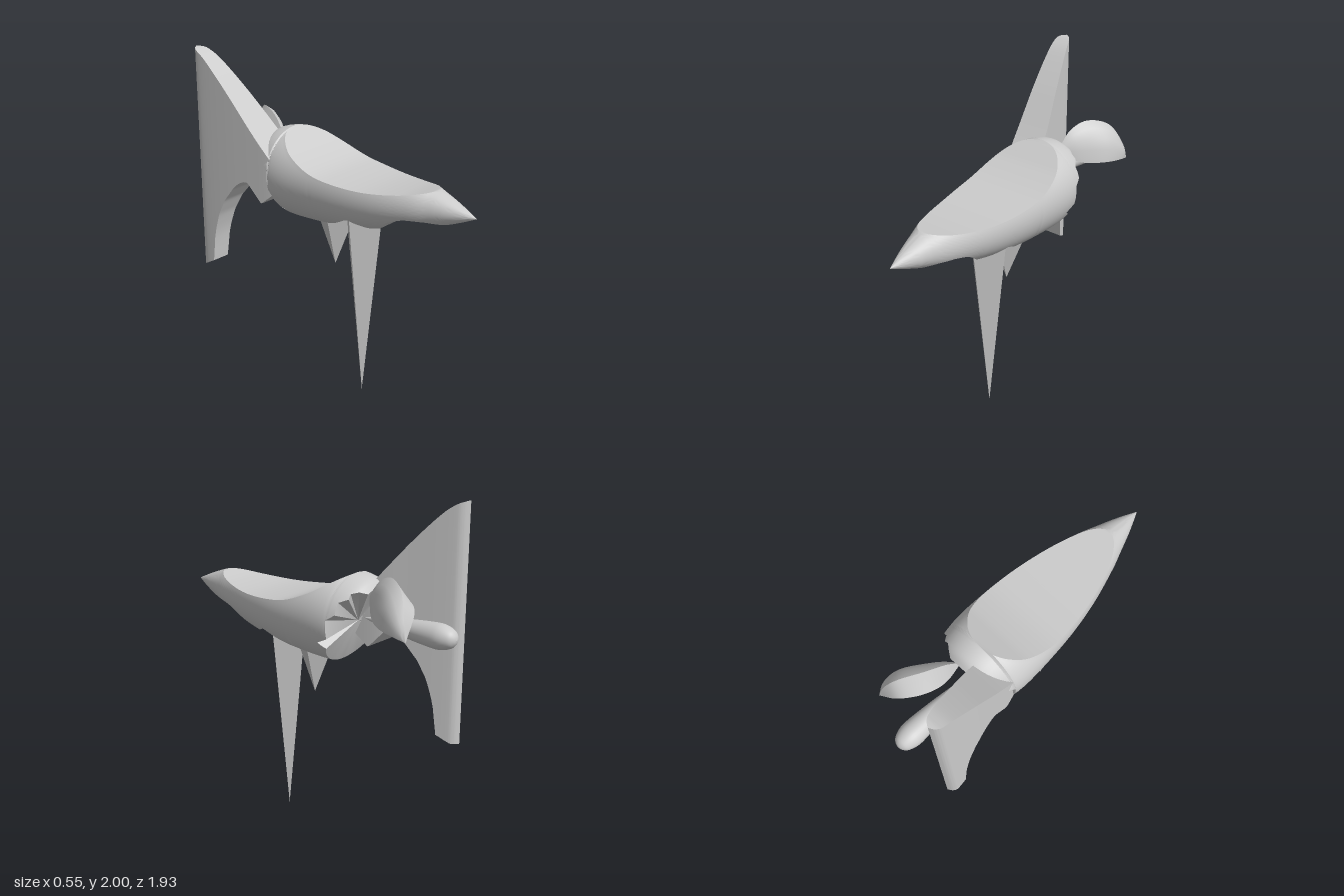
import * as THREE from 'three';
import { toCreasedNormals } from 'three/addons/utils/BufferGeometryUtils.js';

const material = new THREE.MeshStandardMaterial({ color: 0xcccccc, side: THREE.DoubleSide });
const flatMaterial = new THREE.MeshStandardMaterial({ color: 0xcccccc, flatShading: true });

// Turns [position, value] points into a function, straight or smoothed
function profile(points, smooth = true) {
  let p = points.map(([a, b]) => new THREE.Vector2(a, b));
  if (smooth) p = new THREE.SplineCurve(p).getPoints(120);
  p.sort((a, b) => a.x - b.x);
  return (s) => {
    if (s <= p[0].x) return p[0].y;
    for (let i = 1; i < p.length; i++) {
      if (s <= p[i].x) {
        const t = (s - p[i - 1].x) / (p[i].x - p[i - 1].x || 1);
        return p[i - 1].y + t * (p[i].y - p[i - 1].y);
      }
    }
    return p[p.length - 1].y;
  };
}

// Joins closed rings (front to back, counter-clockwise from the front) and caps both ends
function loft(rings, crease = 0.6) {
  const n = rings[0].length, pos = rings.flat(2), index = [];
  for (let i = 0; i < rings.length - 1; i++) {
    for (let j = 0; j < n; j++) {
      const a = i * n + j, b = i * n + (j + 1) % n;
      index.push(a, a + n, b, b, a + n, b + n);
    }
  }
  [0, rings.length - 1].forEach((r, back) => {
    const c = pos.length / 3;
    for (let k = 0; k < 3; k++) pos.push(rings[r].reduce((s, p) => s + p[k], 0) / n);
    for (let j = 0; j < n; j++) {
      const a = r * n + j, b = r * n + (j + 1) % n;
      index.push(c, back ? b : a, back ? a : b);
    }
  });
  const g = new THREE.BufferGeometry();
  g.setAttribute('position', new THREE.Float32BufferAttribute(pos, 3));
  g.setIndex(index);
  return toCreasedNormals(g, crease);
}

const steps = (from, to, n) => Array.from({ length: n + 1 }, (_, i) => from + (to - from) * i / n);

// Round tapered body, scooped above and below, with a ragged slanted back
function bodyGeometry() {
  const cx = 0.01, cy = 1.315;
  const radius = profile([[0.96, 0], [0.88, 0.037], [0.8, 0.07], [0.71, 0.103], [0.6, 0.143], [0.4, 0.2],
    [0.2, 0.238], [0, 0.258], [-0.2, 0.266], [-0.33, 0.255], [-0.42, 0.23], [-0.46, 0.19]]);
  const top = profile([[0.71, 1.415], [0.55, 1.385], [0.35, 1.37], [0.15, 1.38], [0, 1.405],
    [-0.15, 1.465], [-0.25, 1.525], [-0.32, 1.57]]);
  const bottom = profile([[0.8, 1.242], [0.7, 1.253], [0.6, 1.252], [0.54, 1.24], [0.48, 1.212], [0.44, 1.18],
    [0.41, 1.148], [0.33, 1.13], [0.23, 1.178], [0.16, 1.14], [0.1, 1.11], [0, 1.07]], false);
  const ragged = profile([[1.05, -0.21], [1.19, -0.29], [1.2, -0.23], [1.23, -0.24], [1.24, -0.31], [1.36, -0.31],
    [1.37, -0.36], [1.45, -0.36], [1.46, -0.41], [1.52, -0.4], [1.53, -0.46]], false);
  const stations = [...steps(0.96, 0.8, 8), ...steps(0.79, 0.71, 4), ...steps(0.69, -0.32, 60), ...steps(-0.33, -0.46, 10)];
  return loft(stations.map((z) => {
    const r = radius(z);
    const clip = (on, h) => (on && h < r ? Math.asin(h / r) : Math.PI / 2);
    const a = clip(z <= 0.71 && z >= -0.32, top(z) - cy);
    const b = clip(z <= 0.8 && z >= 0, cy - bottom(z));
    const ring = [];
    const arc = (from, to) => steps(from, to, 22).forEach((t) => {
      const zc = Math.max(z, ragged(cy + 0.25 * Math.sin(t))), rc = zc > z ? radius(zc) : r;
      ring.push([cx + rc * Math.cos(t), cy + rc * Math.sin(t), zc]);
    });
    arc(-b, a);
    arc(Math.PI - a, Math.PI + b);
    return ring;
  }), 0.5);
}

// Tall upright blade: a leaf-shaped plan trimmed by its side outline
function finGeometry() {
  const left = profile([[-0.25, -0.215], [-0.36, -0.235], [-0.6, -0.262], [-0.8, -0.275], [-0.85, -0.263], [-0.875, -0.23]]);
  const right = profile([[-0.25, -0.01], [-0.42, -0.04], [-0.6, -0.1], [-0.8, -0.17], [-0.85, -0.195], [-0.875, -0.23]]);
  const top = profile([[-0.25, 1.36], [-0.42, 1.55], [-0.6, 1.765], [-0.75, 1.925], [-0.83, 1.985], [-0.875, 2]]);
  const bottom = profile([[-0.25, 1.24], [-0.37, 1.14], [-0.47, 1.25], [-0.5, 1.248], [-0.54, 1.228], [-0.58, 1.19],
    [-0.65, 1.1], [-0.7, 1], [-0.73, 0.9], [-0.75, 0.8], [-0.757, 0.68], [-0.84, 0.635], [-0.875, 0.63]], false);
  return loft([...steps(-0.25, -0.83, 60), ...steps(-0.835, -0.875, 10)].map((z) => [
    [right(z), bottom(z), z], [right(z), top(z), z], [left(z), top(z), z], [left(z), bottom(z), z],
  ]));
}

// Arched leaf with a curled-under tip and hollow underside
function leafGeometry() {
  const start = [0.04, 1.46, -0.43], tip = [0.26, 1.34, -0.845];
  const curve = (...mid) => new THREE.CatmullRomCurve3([start, ...mid, tip].map((p) => new THREE.Vector3(...p)));
  const outer = curve([0.15, 1.39, -0.53], [0.245, 1.375, -0.65], [0.275, 1.36, -0.77]);
  const ridge = curve([0.06, 1.57, -0.52], [0.1, 1.61, -0.63], [0.18, 1.57, -0.75], [0.24, 1.45, -0.815]);
  const inner = curve([0.02, 1.46, -0.57], [0.045, 1.49, -0.69], [0.13, 1.47, -0.8]);
  return loft(steps(0, 1, 32).map((t) => {
    const b = outer.getPointAt(t), a = ridge.getPointAt(t), c = inner.getPointAt(t);
    const s = Math.sin(Math.PI * t);
    const faces = [0.25, 0.5, 0.75].map((k) => {
      const w = 4 * k * (1 - k) * s * 0.03;
      return b.clone().lerp(a, k).add(new THREE.Vector3(w, w, 0));
    });
    const hollow = b.clone().lerp(c, 0.5).add(new THREE.Vector3(0, 0.04 * s, 0));
    return [b, ...faces, a, c, hollow].map((p) => p.toArray());
  }));
}

// Teardrop stalk, pointed at the front and rounded at the back
function stalkGeometry() {
  const points = [[0, -0.35], [0.018, -0.43], [0.04, -0.56], [0.058, -0.7], [0.07, -0.83],
    [0.068, -0.89], [0.05, -0.94], [0.025, -0.963], [0, -0.97]].map(([r, z]) => new THREE.Vector2(r, z));
  const outline = new THREE.SplineCurve(points).getPoints(48).reverse();
  outline.forEach((p) => { p.x = Math.max(p.x, 0); });
  return new THREE.LatheGeometry(outline, 32).rotateX(Math.PI / 2);
}

// Four-sided spike pointing down
function spikeGeometry(radius, height, turn = 0) {
  return new THREE.ConeGeometry(radius, height, 4).rotateX(Math.PI).rotateY(turn).translate(0, height / 2, 0);
}

export function createModel() {
  const model = new THREE.Group();
  const add = (name, geometry, x = 0, y = 0, z = 0, mat = material) => {
    const mesh = new THREE.Mesh(geometry, mat);
    mesh.name = name;
    mesh.position.set(x, y, z);
    model.add(mesh);
  };
  add('body', bodyGeometry());
  add('tailFin', finGeometry());
  add('tailLeaf', leafGeometry());
  add('tailStalk', stalkGeometry(), -0.015, 1.313, 0);
  add('frontSpike', spikeGeometry(0.143, 1.25), 0.02, 0, 0.195, flatMaterial);
  add('rearSpike', spikeGeometry(0.14, 0.37, 0.3), 0, 0.79, 0, flatMaterial);
  return model;
}
